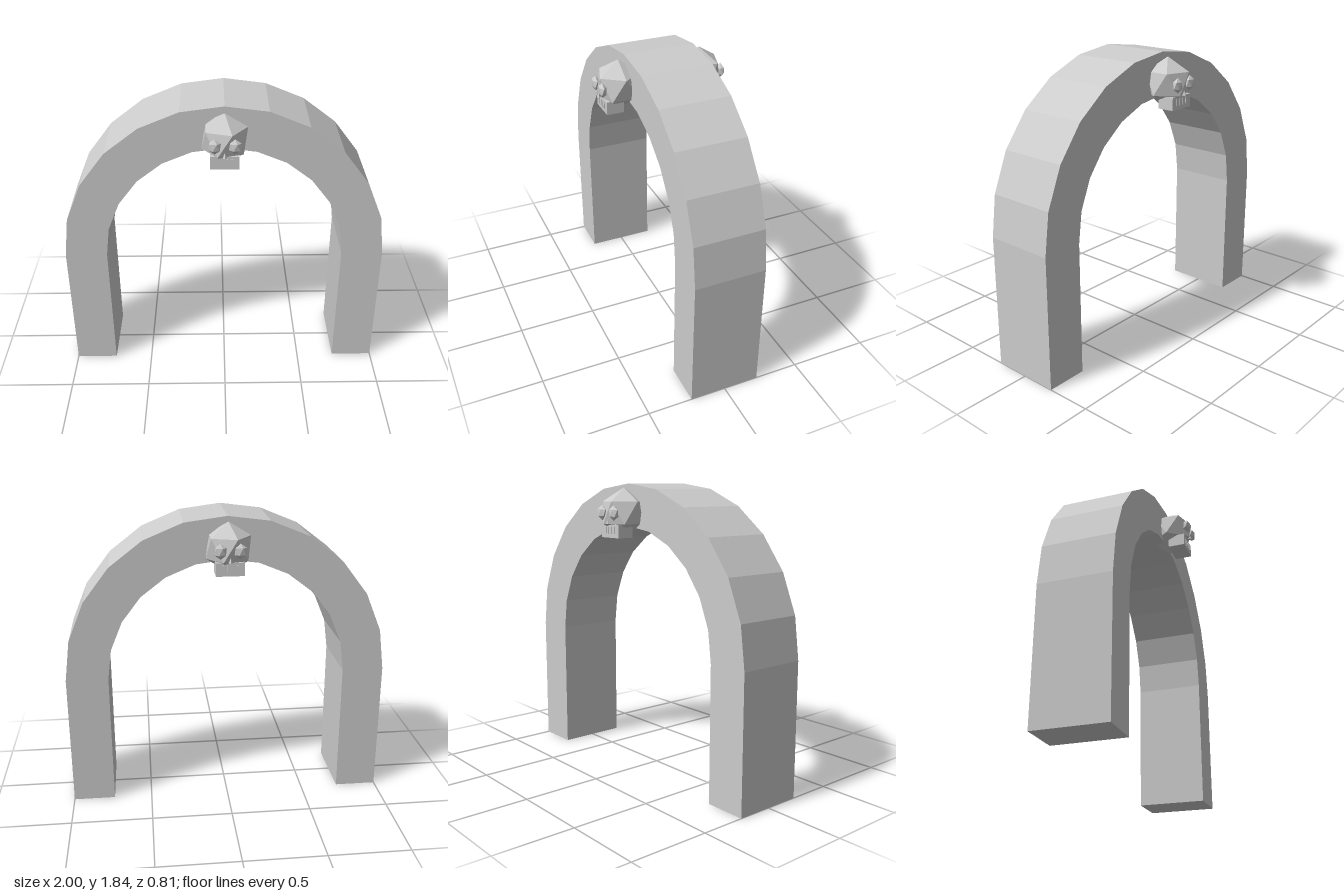
import * as THREE from 'three';

const stone = new THREE.MeshStandardMaterial({ color: 0xcccccc, flatShading: true });
stone.name = 'stone';

function add(parent, name, geometry, x = 0, y = 0, z = 0) {
  const mesh = new THREE.Mesh(geometry, stone);
  mesh.name = name;
  mesh.position.set(x, y, z);
  parent.add(mesh);
  return mesh;
}

// Icosahedron standing on a corner, with an upper ring corner towards +x
function uprightIcosahedron() {
  return new THREE.IcosahedronGeometry(1, 0)
    .rotateX(-Math.atan((1 + Math.sqrt(5)) / 2))
    .rotateY(Math.PI / 2);
}

// Twelve-sided half ring on two straight legs
function archGeometry(outer, inner, springY, depth) {
  const points = [];
  const arc = (r, from, to) => {
    for (let i = 0; i <= 12; i++) {
      const a = from + ((to - from) * i) / 12;
      points.push(new THREE.Vector2(r * Math.cos(a), springY + r * Math.sin(a)));
    }
  };
  points.push(new THREE.Vector2(outer, 0));
  arc(outer, 0, Math.PI);
  points.push(new THREE.Vector2(-outer, 0), new THREE.Vector2(-inner, 0));
  arc(inner, Math.PI, 0);
  points.push(new THREE.Vector2(inner, 0));
  return new THREE.ExtrudeGeometry(new THREE.Shape(points), { depth, bevelEnabled: false })
    .translate(0, 0, -depth / 2);
}

// Carved keystone skull, facing +z
function createSkull() {
  const skull = new THREE.Group();
  skull.name = 'skull';
  add(skull, 'cranium', uprightIcosahedron().scale(0.15, 0.15, 0.15), 0, 1.66, 0.26);
  add(skull, 'jaw', new THREE.BoxGeometry(0.168, 0.08, 0.106), 0, 1.55, 0.314);
  for (const side of [-1, 1]) {
    add(skull, 'eye', uprightIcosahedron().scale(0.04, 0.046, 0.025), side * 0.058, 1.66, 0.382);
  }
  add(skull, 'nose', new THREE.ConeGeometry(0.013, 0.03, 4), 0, 1.608, 0.386);
  // Row of thin teeth on the jaw
  for (let i = 0; i < 4; i++) {
    add(skull, 'tooth', new THREE.BoxGeometry(0.009, 0.042, 0.006), (i - 1.5) * 0.028, 1.555, 0.368);
  }
  return skull;
}

export function createModel() {
  const model = new THREE.Group();
  model.name = 'skullArch';
  add(model, 'arch', archGeometry(1, 0.74, 0.835, 0.444));

  const front = createSkull();
  front.name = 'frontSkull';
  const back = createSkull();
  back.name = 'backSkull';
  back.rotation.y = Math.PI;
  model.add(front, back);
  return model;
}
